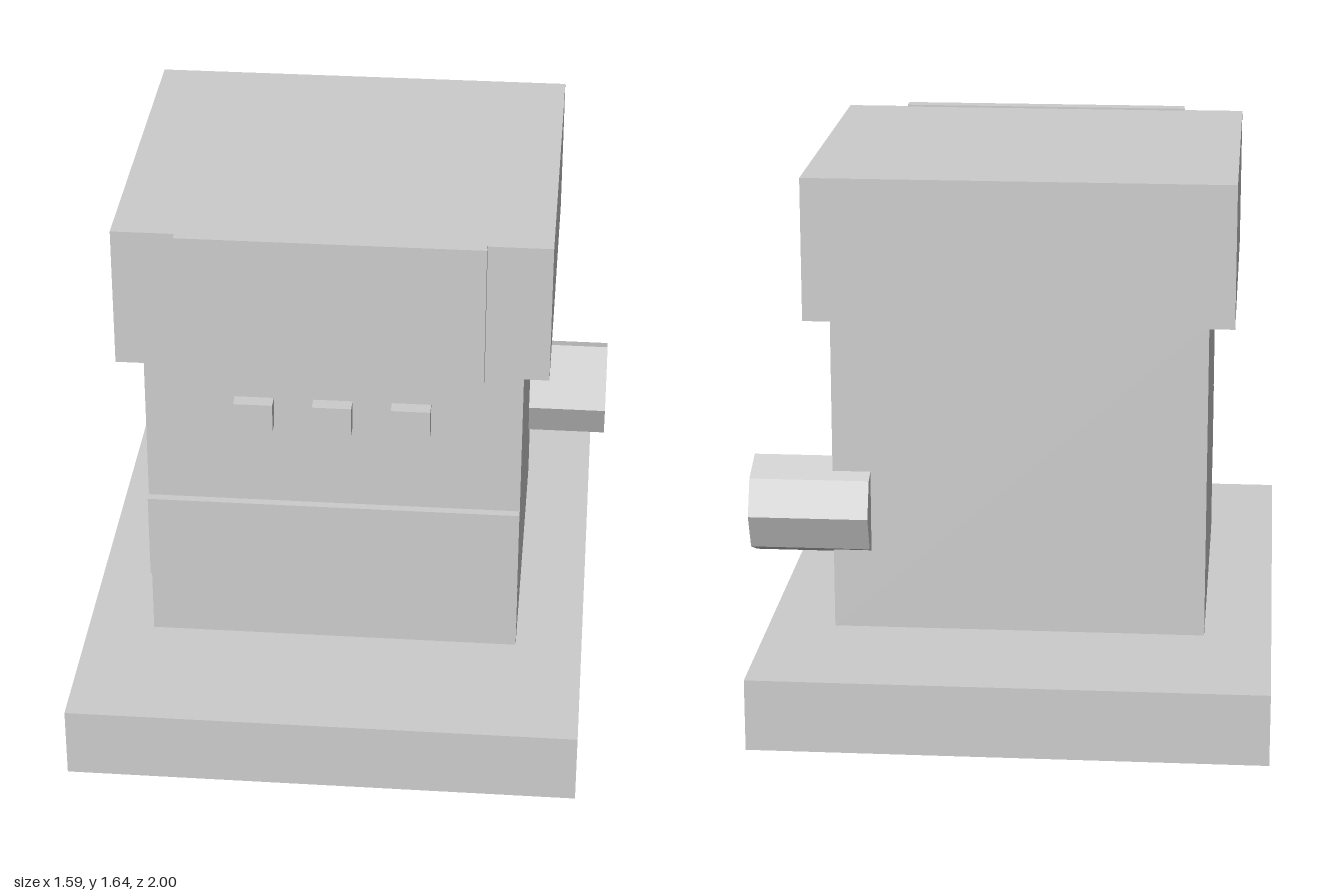
import * as THREE from 'three';

export function createModel() {
  const model = new THREE.Group();
  const grey = new THREE.MeshStandardMaterial({ color: 0xcccccc });
  grey.name = 'light grey';

  // Box given by its extents along each axis
  function box(name, [x0, x1], [y0, y1], [z0, z1]) {
    const mesh = new THREE.Mesh(new THREE.BoxGeometry(x1 - x0, y1 - y0, z1 - z0), grey);
    mesh.position.set((x0 + x1) / 2, (y0 + y1) / 2, (z0 + z1) / 2);
    mesh.name = name;
    model.add(mesh);
  }

  // Stacked main volumes
  box('base', [-0.797, 0.75], [0, 0.22], [-1, 1]);
  box('body', [-0.592, 0.545], [0.22, 1.205], [-0.52, 0.524]);
  box('head', [-0.669, 0.621], [1.203, 1.639], [-0.57, 0.57]);

  // Raised details on the front
  box('headPanel', [-0.479, 0.43], [1.199, 1.645], [0.56, 0.608]);
  box('frontBand', [-0.592, 0.545], [0.44, 0.713], [0.524, 0.551]);
  for (const x of [-0.261, -0.024, 0.212]) {
    box('button', [x - 0.059, x + 0.059], [0.985, 1.075], [0.51, 0.571]);
  }

  // Octagonal knob sticking out of the left side near the back
  const knobGeometry = new THREE.CylinderGeometry(0.154, 0.154, 0.365, 8).toNonIndexed();
  knobGeometry.rotateZ(Math.PI / 2);
  knobGeometry.computeVertexNormals();
  const knob = new THREE.Mesh(knobGeometry, grey);
  knob.position.set(0.6115, 0.594, -0.453);
  knob.name = 'sideKnob';
  model.add(knob);

  return model;
}
